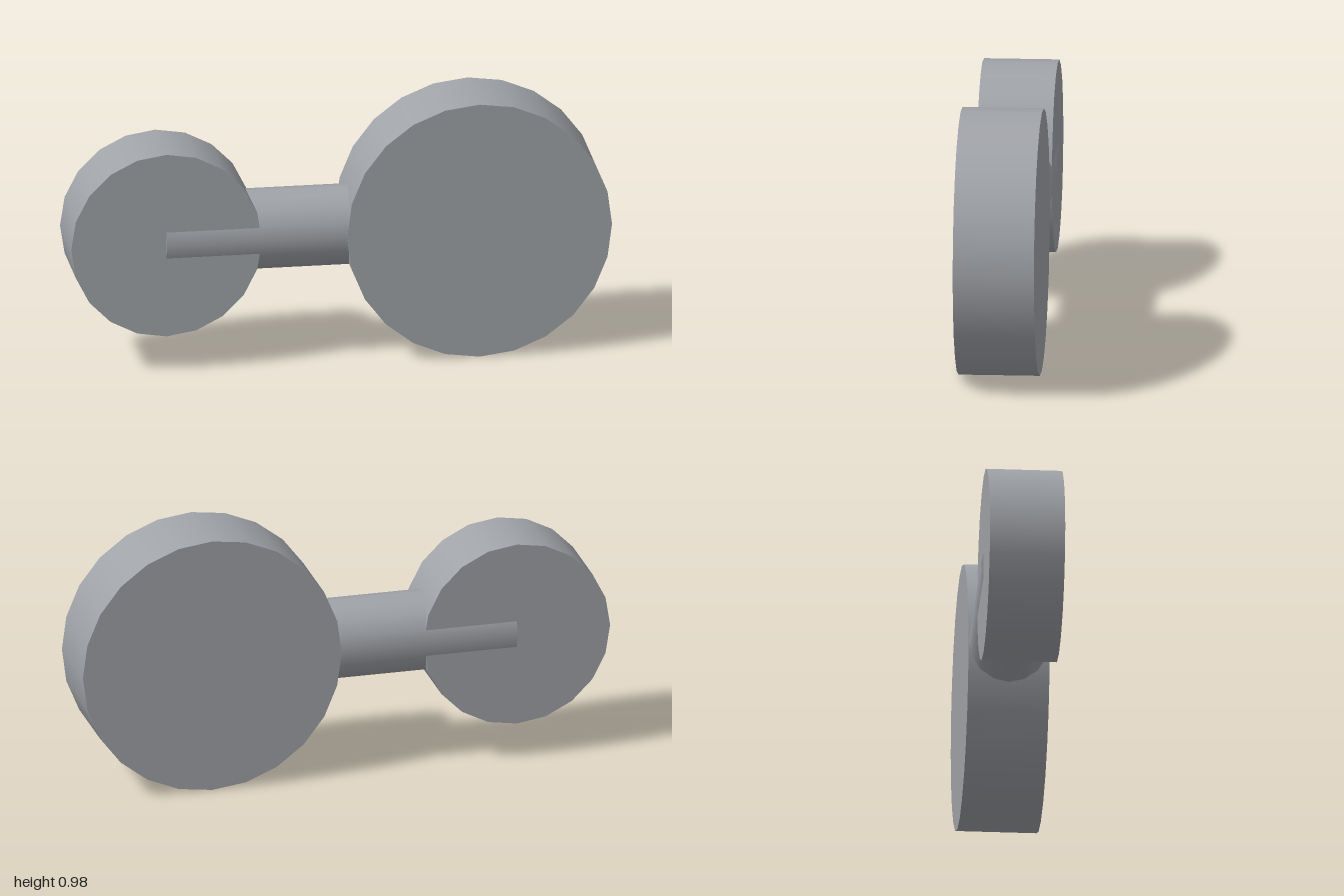
import * as THREE from 'three';

export function createModel() {
  const model = new THREE.Group();
  const grey = new THREE.MeshStandardMaterial({ color: 0xa0a3a8 });
  grey.name = 'grey';

  const axisY = 0.49;
  const largeX = 0.51;
  const smallX = -0.647;

  function add(name, geometry, x) {
    const mesh = new THREE.Mesh(geometry, grey);
    mesh.name = name;
    mesh.position.set(x, axisY, 0);
    model.add(mesh);
  }

  // Upright disc facing front and back
  function disc(radius, depth, sides) {
    return new THREE.CylinderGeometry(radius, radius, depth, sides).rotateX(Math.PI / 2);
  }

  add('largeDisc', disc(0.49, 0.298, 24), largeX);
  add('smallDisc', disc(0.353, 0.276, 20), smallX);

  // Connecting rod, running from one disc centre to the other
  const rod = new THREE.CylinderGeometry(0.148, 0.148, largeX - smallX, 16).rotateZ(Math.PI / 2);
  add('connectingRod', rod, (largeX + smallX) / 2);

  return model;
}
